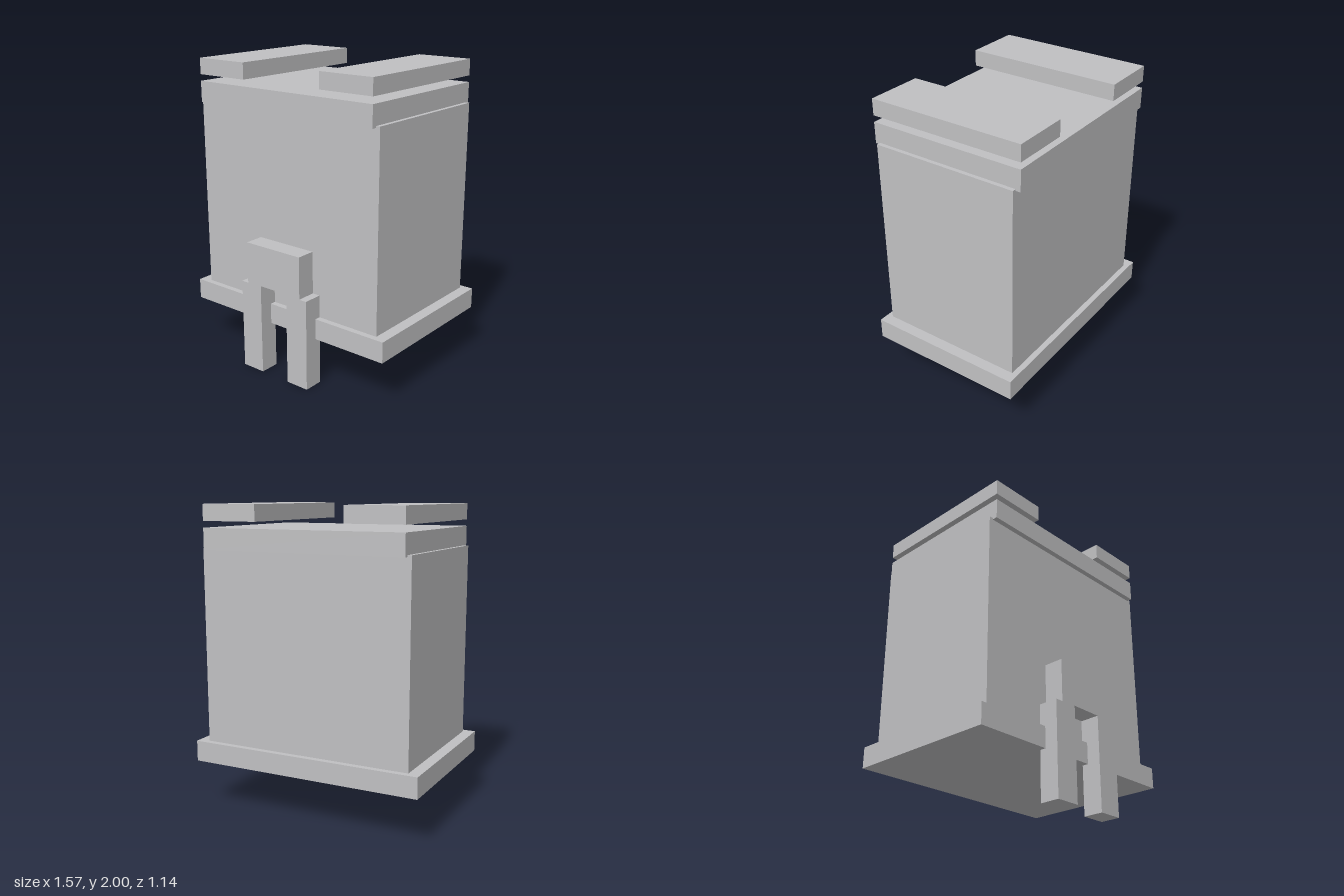
import * as THREE from 'three';

export function createModel() {
  const model = new THREE.Group();
  const grey = new THREE.MeshStandardMaterial({ color: 0xc0c0c2 });
  grey.name = 'light grey';

  // Box given by its lower and upper corners
  function slab(name, [x0, y0, z0], [x1, y1, z1]) {
    const mesh = new THREE.Mesh(new THREE.BoxGeometry(x1 - x0, y1 - y0, z1 - z0), grey);
    mesh.position.set((x0 + x1) / 2, (y0 + y1) / 2, (z0 + z1) / 2);
    mesh.name = name;
    model.add(mesh);
  }

  // Main block between a wide plinth and an overhanging cap
  slab('plinth', [-0.787, 0.318, -0.57], [0.783, 0.455, 0.48]);
  slab('body', [-0.713, 0.455, -0.532], [0.709, 1.727, 0.441]);
  slab('cap', [-0.687, 1.716, -0.564], [0.682, 1.853, 0.475]);

  // Two bars floating above the cap
  slab('rightTopBar', [-0.687, 1.895, -0.564], [-0.304, 2, 0.475]);
  slab('leftTopBar', [0.3, 1.895, -0.564], [0.682, 2, 0.475]);

  // Stepped doorway: two legs joined by a narrower lintel
  const outline = [
    [-0.275, 0], [-0.11, 0], [-0.11, 0.608], [0.107, 0.608], [0.107, 0], [0.27, 0],
    [0.27, 0.603], [0.216, 0.603], [0.216, 0.88], [-0.221, 0.88], [-0.221, 0.603], [-0.275, 0.603],
  ].map(([x, y]) => new THREE.Vector2(x, y));
  const doorway = new THREE.Mesh(
    new THREE.ExtrudeGeometry(new THREE.Shape(outline), { depth: 0.131, bevelEnabled: false }), grey);
  doorway.position.z = 0.439;
  doorway.name = 'doorway';
  model.add(doorway);

  return model;
}
